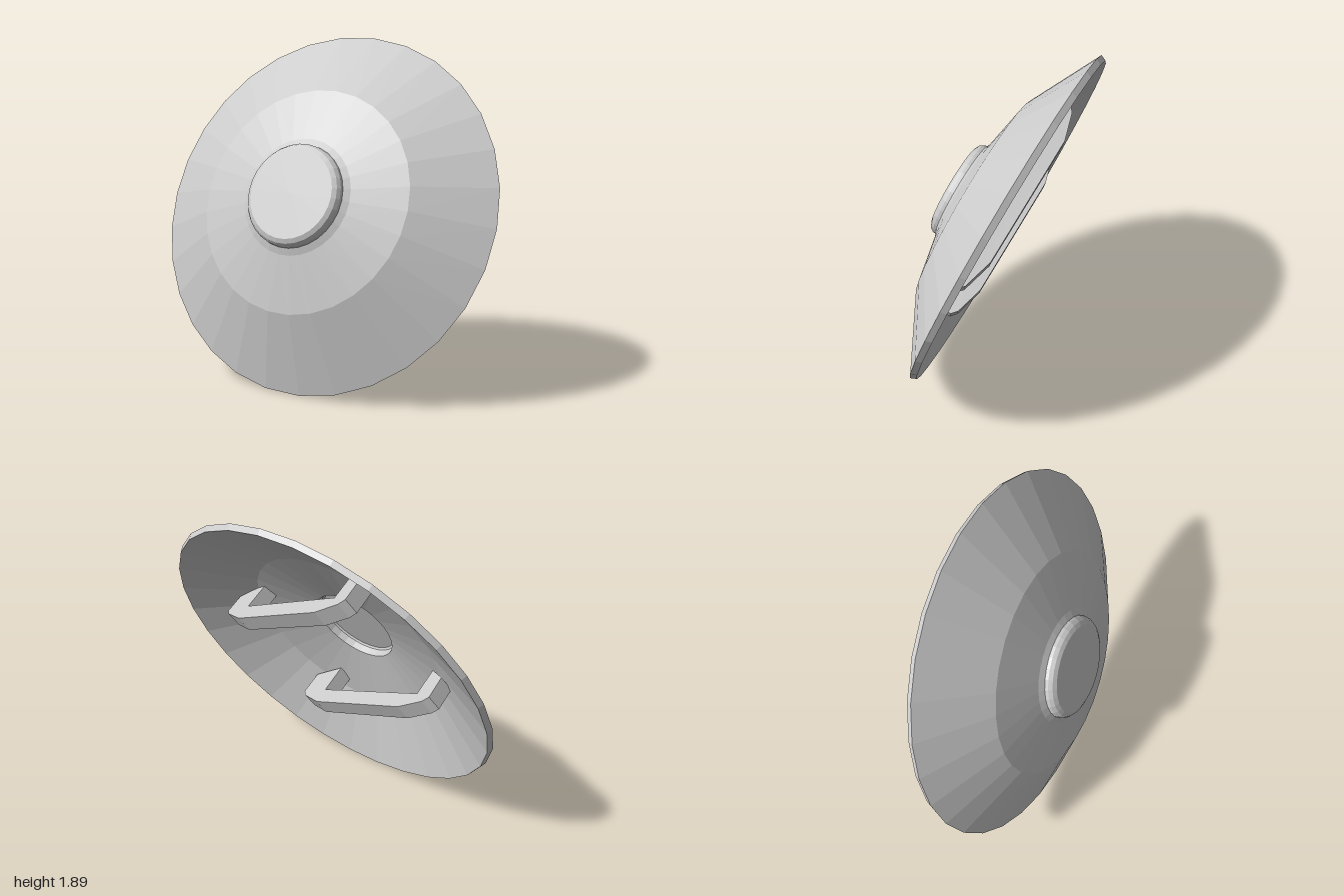
import * as THREE from 'three';

const SIDES = 30;

export function createModel() {
  const model = new THREE.Group();
  const material = new THREE.MeshStandardMaterial({ color: 0xcccccc, flatShading: true });

  // Upright shield frame: Y is the outward axis, X runs along the grips
  const shield = new THREE.Group();
  shield.name = 'shield';
  const axis = new THREE.Vector3(-0.907, 0.374, 0.194).normalize();
  const along = new THREE.Vector3(0.011, 0.48, -0.877);
  along.addScaledVector(axis, -along.dot(axis)).normalize();
  const across = new THREE.Vector3().crossVectors(along, axis);
  shield.quaternion.setFromRotationMatrix(new THREE.Matrix4().makeBasis(along, axis, across));
  shield.position.set(0.033, 0.935, -0.005);
  model.add(shield);

  const add = (name, geometry) => {
    const mesh = new THREE.Mesh(geometry, material);
    mesh.name = name;
    shield.add(mesh);
    return mesh;
  };
  const lathe = (points) =>
    new THREE.LatheGeometry(points.map(([r, y]) => new THREE.Vector2(r, y)), SIDES);

  // Dished body: hollow side, rim edge, then outer side
  add('body', lathe([
    [0.25, 0.292], [0.61, 0.21], [1.005, 0], [1.02, 0.033],
    [0.62, 0.245], [0.32, 0.312], [0.28, 0.33],
  ]));

  // Central boss, recessed on the hollow side
  add('boss', lathe([
    [0, 0.345], [0.235, 0.345], [0.245, 0.335], [0.25, 0.292], [0.27, 0.3],
    [0.284, 0.325], [0.281, 0.347], [0.268, 0.366], [0.245, 0.378], [0, 0.378],
  ]));

  // Two grips: bars with chamfered ends and feet set into the hollow side
  const profile = new THREE.Shape([
    [-0.57, 0.18], [-0.575, 0.04], [-0.54, 0.01], [-0.37, -0.035], [0.39, -0.035],
    [0.55, 0.01], [0.585, 0.04], [0.58, 0.175], [0.475, 0.225], [0.475, 0.06],
    [-0.37, 0.06], [-0.37, 0.235],
  ].map(([x, y]) => new THREE.Vector2(x, y)));
  for (const [name, offset] of [['upperGrip', 0.335], ['lowerGrip', -0.385]]) {
    const grip = add(name, new THREE.ExtrudeGeometry(profile, { depth: 0.095, bevelEnabled: false }));
    grip.position.z = offset;
  }

  return model;
}
